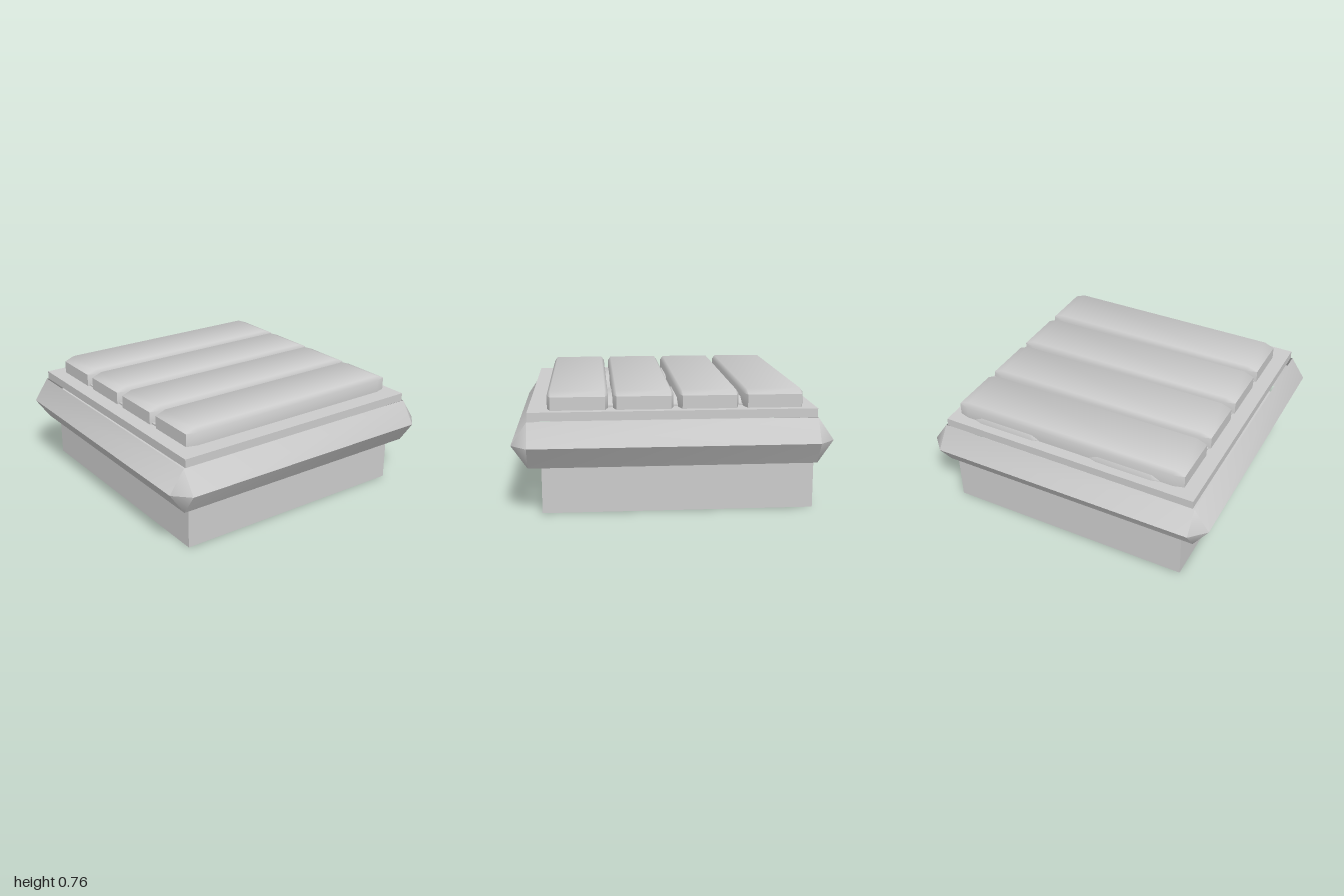
import * as THREE from 'three';
import { toCreasedNormals } from 'three/addons/utils/BufferGeometryUtils.js';

const grey = new THREE.MeshStandardMaterial({ color: 0xcccccc });
const greyOpen = new THREE.MeshStandardMaterial({ color: 0xcccccc, side: THREE.DoubleSide });

// Rectangle with cut corners, counter-clockwise seen from above
function ring(hx, hz, cutX, cutZ, y) {
  const points = [];
  for (const [sx, sz] of [[1, 1], [1, -1], [-1, -1], [-1, 1]]) {
    const pair = [
      new THREE.Vector3(sx * (hx - cutX), y, sz * hz),
      new THREE.Vector3(sx * hx, y, sz * (hz - cutZ)),
    ];
    points.push(...(sx === sz ? pair : pair.reverse()));
  }
  return points;
}

// Skin a stack of rings, listed from bottom to top, with optional end caps
function loft(rings, capped) {
  const positions = [];
  const triangle = (a, b, c) => {
    if (a.distanceTo(b) < 1e-5 || b.distanceTo(c) < 1e-5 || c.distanceTo(a) < 1e-5) return;
    for (const p of [a, b, c]) positions.push(p.x, p.y, p.z);
  };
  for (let r = 0; r < rings.length - 1; r++) {
    const low = rings[r], high = rings[r + 1];
    for (let i = 0; i < 8; i++) {
      const j = (i + 1) % 8;
      triangle(low[i], low[j], high[j]);
      triangle(low[i], high[j], high[i]);
    }
  }
  if (capped) {
    const bottom = rings[0], top = rings[rings.length - 1];
    for (let i = 1; i < 7; i++) {
      triangle(bottom[0], bottom[i + 1], bottom[i]);
      triangle(top[0], top[i], top[i + 1]);
    }
  }
  const geometry = new THREE.BufferGeometry();
  geometry.setAttribute('position', new THREE.Float32BufferAttribute(positions, 3));
  return toCreasedNormals(geometry, Math.PI / 3);
}

export function createModel() {
  const model = new THREE.Group();

  function add(name, geometry, x = 0, z = 0, material = grey) {
    const mesh = new THREE.Mesh(geometry, material);
    mesh.name = name;
    mesh.position.set(x, 0, z);
    model.add(mesh);
  }

  function block(name, x0, x1, y0, y1, z0, z1) {
    const geometry = new THREE.BoxGeometry(x1 - x0, y1 - y0, z1 - z0);
    geometry.translate(0, (y0 + y1) / 2, 0);
    add(name, geometry, (x0 + x1) / 2, (z0 + z1) / 2);
  }

  // Bar with straight sides and a bevelled top
  function bar(name, x0, x1, z0, z1, bottom, shoulder, top, cutX, cutZ) {
    const hx = (x1 - x0) / 2, hz = (z1 - z0) / 2;
    const geometry = loft([
      ring(hx, hz, cutX, cutZ, bottom),
      ring(hx, hz, cutX, cutZ, shoulder),
      ring(hx - cutX, hz - cutZ, 0, 0, top),
    ], true);
    add(name, geometry, (x0 + x1) / 2, (z0 + z1) / 2);
  }

  // Plinth, slightly off centre
  block('base', -0.82, 0.845, 0, 0.306, -0.89, 0.82);

  // Bulging rim, open at top and bottom
  add('rim', loft([
    ring(0.9, 0.9, 0, 0, 0.305),
    ring(1, 1, 0.1, 0.1, 0.45),
    ring(0.9, 0.9, 0, 0, 0.595),
  ], false), 0, 0, greyOpen);

  // Deck and the low pad lying on it
  block('deck', -0.887, 0.885, 0.595, 0.65, -0.898, 0.898);
  block('pad', -0.775, 0.75, 0.65, 0.66, -0.8, 0.75);

  // Two runners under the slats
  for (const x of [-0.65, 0.205]) bar('runner', x, x + 0.52, -0.84, 0.76, 0.64, 0.655, 0.69, 0.07, 0.02);

  // Four cushion-like slats
  for (let i = 0; i < 4; i++) {
    const z = -0.825 + i * 0.409;
    bar('slat', -0.79, 0.835, z, z + 0.378, 0.65, 0.733, 0.76, 0.07, 0.02);
  }

  return model;
}
